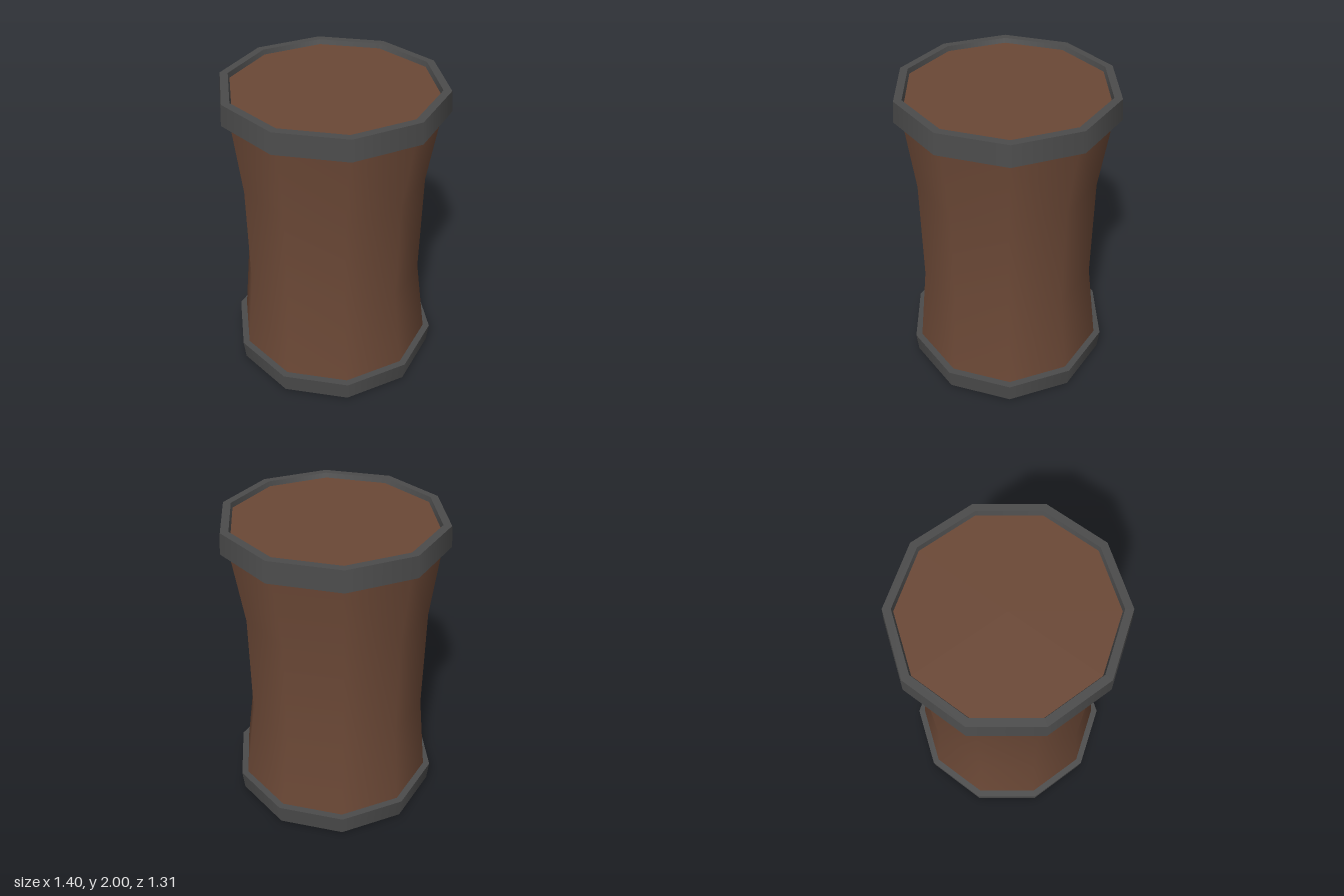
import * as THREE from 'three';
import { mergeGeometries } from 'three/addons/utils/BufferGeometryUtils.js';

const SIDES = 10;

// Ten-sided lathe; each run of profile points is smooth, with sharp edges between runs
function turned(runs) {
  const parts = runs.map(run => new THREE.LatheGeometry(
    run.map(([r, y]) => new THREE.Vector2(r, y)), SIDES, Math.PI / 2));
  const geometry = mergeGeometries(parts);
  geometry.scale(1, 1, 0.98);
  return geometry;
}

export function createModel() {
  const group = new THREE.Group();
  const brown = new THREE.MeshStandardMaterial({ color: 0x6b4836 });
  brown.name = 'brown';
  const grey = new THREE.MeshStandardMaterial({ color: 0x4b4b4b });
  grey.name = 'darkGrey';

  const add = (name, geometry, material) => {
    const mesh = new THREE.Mesh(geometry, material);
    mesh.name = name;
    group.add(mesh);
  };

  // Waisted body with a recessed underside and a flat top
  const body = turned([
    [[0, 0.075], [0.655, 0.075]],
    [[0.655, 0.075], [0.662, 0.004]],
    [[0.662, 0.004], [0.67, 0.004]],
    [[0.67, 0.004], [0.657, 0.137], [0.59, 0.69], [0.59, 1.39], [0.65, 1.87], [0.65, 1.97]],
    [[0.65, 1.97], [0, 1.97]],
  ]);
  // The waist sits slightly off centre
  const p = body.attributes.position;
  for (let i = 0; i < p.count; i++) {
    if (p.getY(i) > 0.6 && p.getY(i) < 1.5) {
      p.setX(i, p.getX(i) - 0.009);
      p.setZ(i, p.getZ(i) + 0.005);
    }
  }
  add('body', body, brown);

  // Lower band, flaring upward
  add('bottomBand', turned([
    [[0.662, 0], [0.69, 0]],
    [[0.69, 0], [0.702, 0.137]],
    [[0.702, 0.137], [0.64, 0.137]],
  ]), grey);

  // Upper band, flaring downward, with a raised rim around the top
  add('topBand', turned([
    [[0.63, 1.87], [0.702, 1.87]],
    [[0.702, 1.87], [0.69, 2]],
    [[0.69, 2], [0.64, 2]],
    [[0.64, 2], [0.63, 1.965]],
  ]), grey);

  return group;
}
